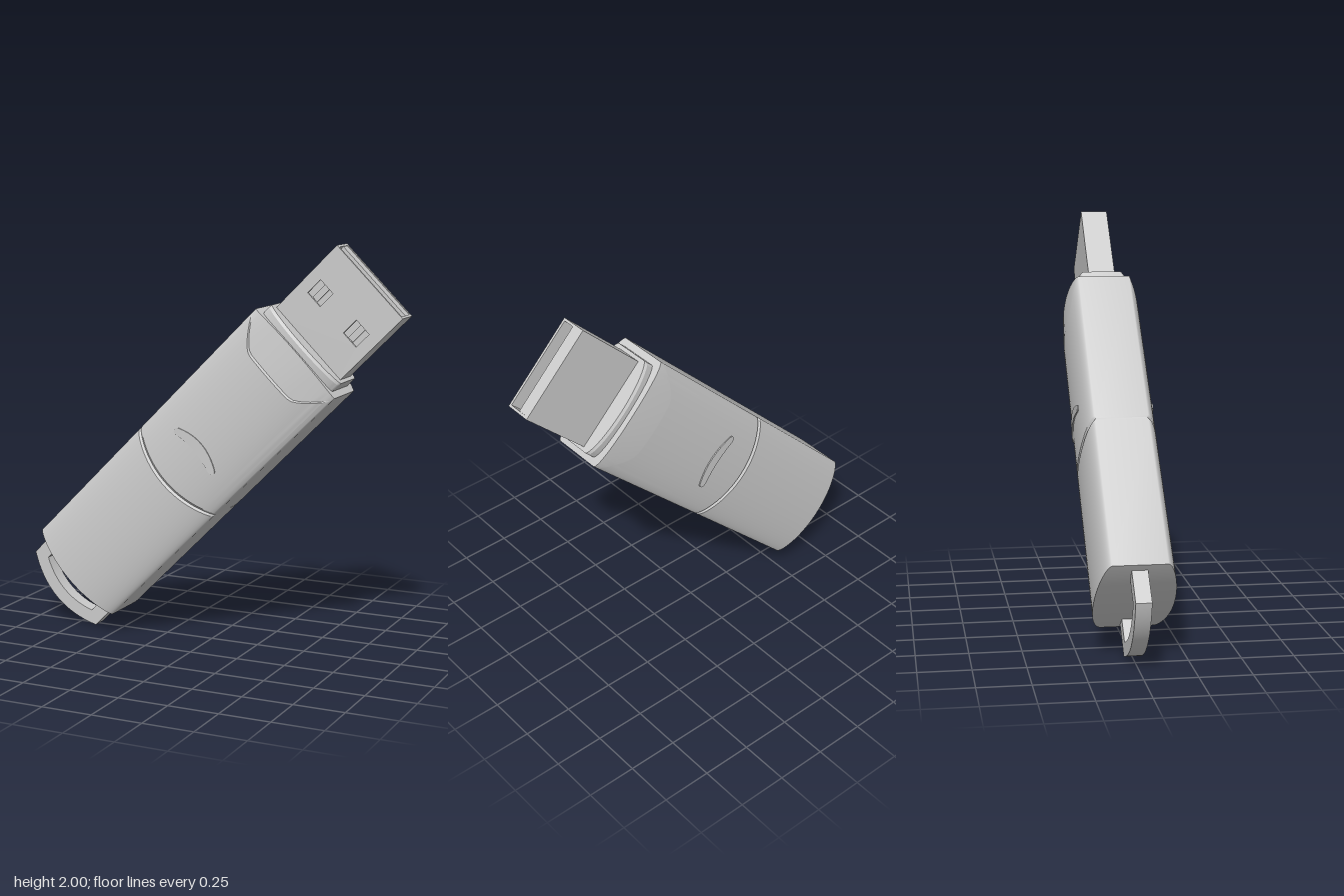
import * as THREE from 'three';
import { toCreasedNormals } from 'three/addons/utils/BufferGeometryUtils.js';

const grey = new THREE.MeshStandardMaterial({ color: 0xcccccc, side: THREE.DoubleSide });
const HALF = 0.285; // half width of the casing

// Cross-section half depth: flat narrow sides, bulging faces (t runs -1..1 over the width)
const bulge = (t) => Math.pow(Math.max(0, 1 - t * t), 0.6);
const depthAt = (t) => 0.128 + 0.062 * bulge(t);

function part(name, geometry, x = 0, y = 0, z = 0) {
  const mesh = new THREE.Mesh(geometry, grey);
  mesh.name = name;
  mesh.position.set(x, y, z);
  return mesh;
}

const box = (name, w, h, d, x, y, z) => part(name, new THREE.BoxGeometry(w, h, d), x, y, z);

// Skin through rows { y(t), front(t), back(t) }, where front/back lower each face
function shell(rows, half = HALF, depth = depthAt) {
  const n = 32, ring = 2 * (n + 1), pos = [], index = [];
  for (const { y, front = () => 0, back = () => 0 } of rows) {
    for (let j = 0; j < ring; j++) {
      const i = j <= n ? j : ring - 1 - j;
      const t = -Math.cos((Math.PI * i) / n);
      pos.push(t * half, y(t), j <= n ? depth(t) - front(t) : back(t) - depth(t));
    }
  }
  for (let r = 0; r < rows.length - 1; r++) {
    for (let j = 0; j < ring; j++) {
      const a = r * ring + j, b = r * ring + ((j + 1) % ring);
      index.push(a, b, b + ring, a, b + ring, a + ring);
    }
  }
  const top = (rows.length - 1) * ring;
  for (let i = 0; i < n; i++) {
    const k = ring - 1 - i;
    index.push(i, k - 1, i + 1, i, k, k - 1);
    index.push(top + i, top + i + 1, top + k - 1, top + i, top + k - 1, top + k);
  }
  const g = new THREE.BufferGeometry();
  g.setAttribute('position', new THREE.Float32BufferAttribute(pos, 3));
  g.setIndex(index);
  return toCreasedNormals(g, 0.45);
}

// Plate cut from a shape, centred in depth
function plate(shape, depth) {
  const g = new THREE.ExtrudeGeometry(shape, { depth, bevelEnabled: false, curveSegments: 24 });
  g.translate(0, 0, -depth / 2);
  return toCreasedNormals(g, 0.5);
}

function rectangle(path, x0, y0, x1, y1) {
  path.moveTo(x0, y0);
  path.lineTo(x1, y0);
  path.lineTo(x1, y1);
  path.lineTo(x0, y1);
  path.closePath();
  return path;
}

// Casing halves, meeting in a curved V-groove
function casing() {
  const group = new THREE.Group();
  group.name = 'casing';
  const seam = (d) => (t) => 0.53 - 0.065 * (1 - t * t) + d;
  const groove = () => 0.009;
  const bottom = (t) => -0.28 - 0.03 * (1 - t * t);
  const end = (t) => 1.404 + 0.02 * (1 - t * t);
  // Outline of the recessed thumb panel on the front
  const panel = (d) => (t) => {
    const s = Math.min(1, Math.max(0, (Math.abs(t) - 0.5) / 0.5));
    return 1.25 + 0.14 * Math.pow(s, 1.4) + d;
  };
  group.add(part('lowerCasing', shell([
    { y: bottom },
    { y: seam(-0.012) },
    { y: seam(0), front: groove, back: groove },
  ])));
  group.add(part('upperCasing', shell([
    { y: seam(0), front: groove, back: groove },
    { y: seam(0.012) },
    { y: panel(-0.008) },
    { y: panel(0), front: (t) => 0.012 * bulge(t) },
    { y: end, front: (t) => 0.028 * bulge(t), back: (t) => 0.012 * bulge(t) },
  ])));
  // Stepped collar around the plug
  group.add(part('collar', shell(
    [{ y: () => 1.38 }, { y: () => 1.45 }, { y: () => 1.464, front: () => 0.008, back: () => 0.008 }],
    0.25, (t) => 0.1 + 0.05 * bulge(t))));
  return group;
}

// Crescent grip laid on a curved face
function grip(side) {
  const s = new THREE.Shape();
  s.moveTo(-0.142, 0.685);
  s.quadraticCurveTo(-0.155, 0.705, -0.13, 0.718);
  s.quadraticCurveTo(0, 0.795, 0.13, 0.718);
  s.quadraticCurveTo(0.155, 0.705, 0.142, 0.685);
  s.quadraticCurveTo(0.13, 0.678, 0.11, 0.686);
  s.quadraticCurveTo(0, 0.722, -0.11, 0.686);
  s.quadraticCurveTo(-0.13, 0.678, -0.142, 0.685);
  const g = plate(s, 0.012);
  const p = g.attributes.position;
  for (let i = 0; i < p.count; i++) {
    p.setZ(i, p.getZ(i) + side * depthAt(p.getX(i) / HALF));
  }
  return part(side > 0 ? 'frontGrip' : 'backGrip', g);
}

// Hollow metal plug with contact tongue
function plug() {
  const group = new THREE.Group();
  group.name = 'plug';
  const w = 0.2315, y0 = 1.42, y1 = 1.89, wall = 0.012, length = y1 - y0, mid = (y0 + y1) / 2;
  const face = rectangle(new THREE.Shape(), -w, y0, w, y1);
  for (const s of [-1, 1]) {
    face.holes.push(rectangle(new THREE.Path(), s * 0.128 - 0.045, 1.629, s * 0.128 + 0.045, 1.719));
    group.add(box('plugSide', wall, length, 0.112, s * (w - wall / 2), mid, 0.001));
    group.add(box('spring', 0.032, 0.09, 0.01, s * 0.128, 1.674, 0.05));
  }
  group.add(part('plugFront', plate(face, wall), 0, 0, 0.062));
  group.add(box('plugBack', 2 * w, length, wall, 0, mid, -0.06));
  group.add(box('tongue', 2 * (w - wall), length - 0.003, 0.055, 0, mid - 0.0015, -0.0275));
  group.add(box('plugFloor', 2 * (w - wall), 0.085, 0.056, 0, 1.4625, 0.028));
  return group;
}

// Strap loop at the lower end
function loop() {
  const s = new THREE.Shape();
  s.moveTo(-0.25, -0.25);
  s.lineTo(-0.25, -0.455);
  s.quadraticCurveTo(0, -0.605, 0.25, -0.455);
  s.lineTo(0.25, -0.25);
  s.lineTo(0.18, -0.25);
  s.lineTo(0.18, -0.418);
  s.quadraticCurveTo(0, -0.51, -0.18, -0.418);
  s.lineTo(-0.18, -0.25);
  s.closePath();
  return part('strapLoop', plate(s, 0.075));
}

export function createModel() {
  const model = new THREE.Group();
  model.name = 'flashDrive';
  // Built upright, then leaned over by 45 degrees
  const body = new THREE.Group();
  body.name = 'drive';
  body.add(casing(), grip(1), grip(-1), plug(), loop());
  body.rotation.z = -Math.PI / 4;
  body.position.set(-0.502, 0.502, 0);
  model.add(body);
  return model;
}
